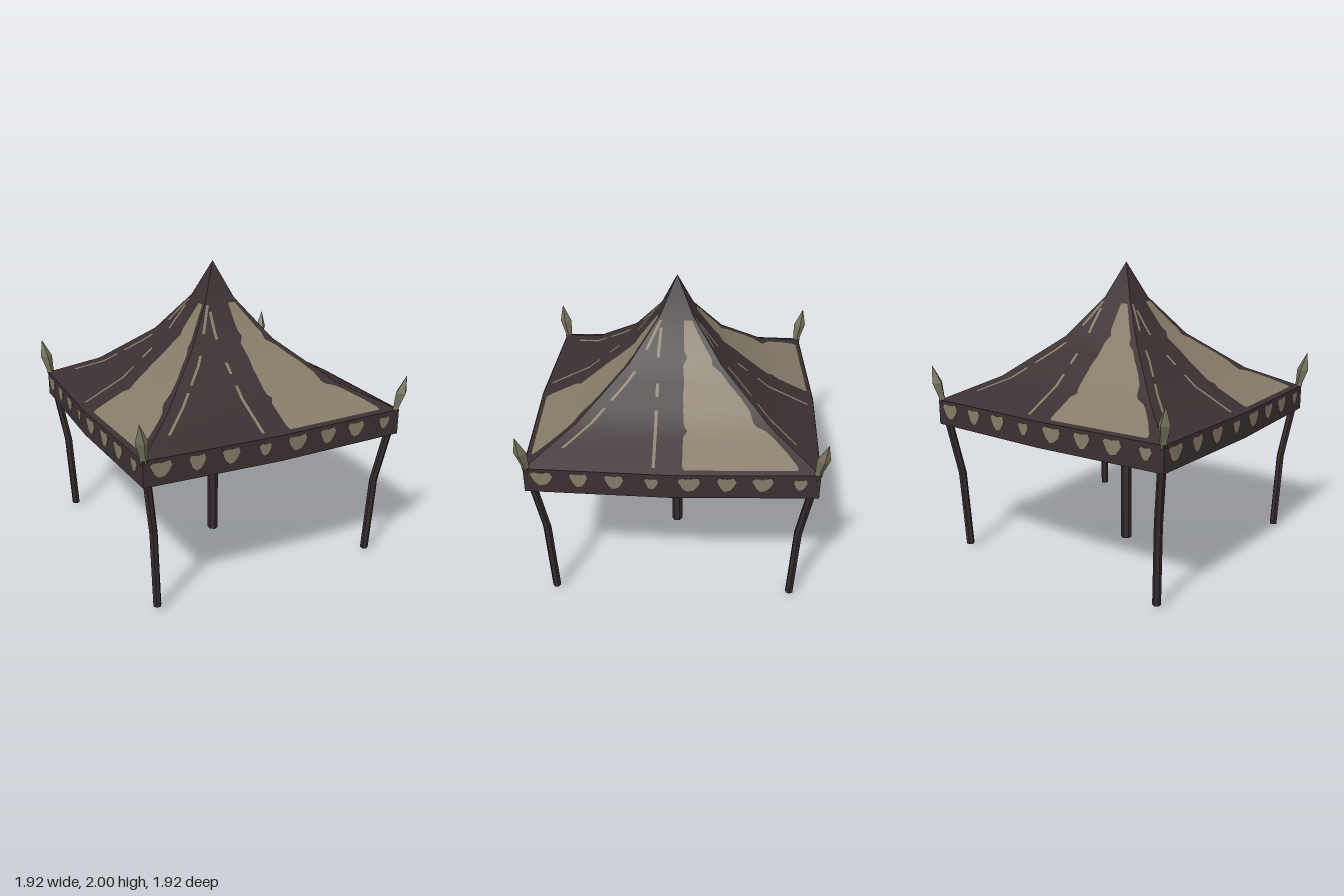
import * as THREE from 'three';

const mat = (name, color, side = THREE.FrontSide) => {
  const m = new THREE.MeshStandardMaterial({ color, side });
  m.name = name;
  return m;
};

const named = (name, geometry, material) => {
  const mesh = new THREE.Mesh(geometry, material);
  mesh.name = name;
  return mesh;
};

const faceted = (geometry) => {
  const g = geometry.toNonIndexed();
  g.computeVertexNormals();
  return g;
};

// Roof section: distance of the mid-side from the axis, and height
const PROFILE = [[0, 2], [0.11, 1.76], [0.31, 1.5], [0.63, 1.24], [0.945, 1.085]];
const CORNER = 0.965;

function roofHeight(m) {
  let i = 0;
  while (i < PROFILE.length - 2 && m > PROFILE[i + 1][0]) i++;
  const [m0, y0] = PROFILE[i], [m1, y1] = PROFILE[i + 1];
  return y0 + (y1 - y0) * (m - m0) / (m1 - m0);
}

// Rows down one roof side: distance, inner edge of the pale panel,
// its gap to the ridge, and whether each pale streak runs below this row
const ROWS = [
  [0, 0, 0, 0, 0], [0.11, 0.05, 0.03, 0, 0], [0.13, 0.05, 0.025, 0, 1], [0.16, 0.05, 0.03, 1, 1],
  [0.25, 0.055, 0.04, 1, 0], [0.28, 0.075, 0.04, 0, 0], [0.31, 0.05, 0.06, 0, 0], [0.35, 0.055, 0.04, 0, 1],
  [0.41, 0.06, 0.045, 1, 1], [0.48, 0.055, 0.04, 0, 1], [0.51, 0.06, 0.045, 0, 0], [0.55, 0.06, 0.05, 1, 1],
  [0.61, 0.065, 0.085, 1, 1], [0.63, 0.07, 0.085, 1, 1], [0.66, 0.09, 0.055, 1, 1], [0.7, 0.065, 0.05, 1, 1],
  [0.8, 0.065, 0.06, 1, 0], [0.88, 0.065, 0.08, 1, 0], [0.9, 0.07, 0.09, 0, 0], [0.91, 0.08, 0.11, 0, 0],
  [0.945, 0.08, 0.11, 0, 0],
];

// Column borders from the left ridge to the right ridge
function columns([m, inner, gap]) {
  const w = CORNER * m, k = Math.min(1, m / 0.15);
  const ridgeStreak = -(w - 0.1 * Math.min(1, m / 0.4));
  const midStreak = -Math.min(0.1, 0.55 * m);
  return [-w, ridgeStreak - 0.02 * k, ridgeStreak, midStreak - 0.02 * k, midStreak, 0, inner, w - gap, w];
}

function roofSide(pale) {
  const pos = [], nor = [];
  const add = (m, x) => {
    pos.push(x, roofHeight(m), m - 0.035 * Math.abs(x) / CORNER);
    const a = Math.max(0, m - 0.1), b = Math.min(0.945, m + 0.1);
    const n = new THREE.Vector3(0, 1, (roofHeight(a) - roofHeight(b)) / (b - a)).normalize();
    nor.push(n.x, n.y, n.z);
  };
  for (let r = 0; r < ROWS.length - 1; r++) {
    const top = ROWS[r], low = ROWS[r + 1];
    const c0 = columns(top), c1 = columns(low);
    for (let c = 0; c < 8; c++) {
      const isPale = (c === 6 && top[0] >= 0.13 && top[0] < 0.91) || (c === 3 && top[3] === 1) || (c === 1 && top[4] === 1);
      if (isPale !== pale) continue;
      add(top[0], c0[c]); add(low[0], c1[c]); add(low[0], c1[c + 1]);
      add(top[0], c0[c]); add(low[0], c1[c + 1]); add(top[0], c0[c + 1]);
    }
  }
  const g = new THREE.BufferGeometry();
  g.setAttribute('position', new THREE.Float32BufferAttribute(pos, 3));
  g.setAttribute('normal', new THREE.Float32BufferAttribute(nor, 3));
  return g;
}

// Octagonal ring: four corners with slightly bulged sides
function ringPoints(inset) {
  const c = 0.912 - inset, m = 0.945 - inset;
  return [[c, c], [0, m], [-c, c], [-m, 0], [-c, -c], [0, -m], [c, -c], [m, 0]].map(([x, y]) => new THREE.Vector2(x, y));
}

// Rounded scallop: flat top narrowing downwards
function spotGeometry(w, h) {
  const s = new THREE.Shape();
  const pts = [[-0.5, 0.3], [-0.38, 0.48], [0, 0.42], [0.4, 0.5], [0.5, 0.2], [0.36, -0.15], [0.18, -0.42], [-0.1, -0.5], [-0.3, -0.25]];
  pts.forEach(([x, y], i) => (i ? s.lineTo(x * w, y * h) : s.moveTo(x * w, y * h)));
  return new THREE.ExtrudeGeometry(s, { depth: 0.009, bevelEnabled: false }).translate(0, 0, -0.0045);
}

export function createModel() {
  const cloth = mat('dark cloth', 0x3b3031, THREE.DoubleSide);
  const paleCloth = mat('pale cloth', 0x857b68, THREE.DoubleSide);
  const wood = mat('dark wood', 0x362b2c);
  const metal = mat('dull metal', 0x78745f);

  const model = new THREE.Group();
  model.name = 'pavilion';

  // Hanging valance
  const ring = new THREE.Shape(ringPoints(0));
  ring.holes.push(new THREE.Path(ringPoints(0.004)));
  const valance = new THREE.ExtrudeGeometry(ring, { depth: 0.17, bevelEnabled: false });
  valance.rotateX(-Math.PI / 2).translate(0, 0.92, 0);
  model.add(named('valance', valance, cloth));

  // Centre pole
  const pole = faceted(new THREE.CylinderGeometry(0.038, 0.038, 1.85, 6)).translate(0, 0.925, 0);
  model.add(named('centrePole', pole, wood));

  // Bent corner post, leaning outwards along the diagonal
  const post = new THREE.CylinderGeometry(0.027, 0.027, 1.06, 6, 2).translate(0, 0.56, 0);
  const lean = [0.795, 0.817, 0.893];
  const p = post.attributes.position;
  for (let i = 0; i < p.count; i++) {
    const d = lean[Math.round((p.getY(i) - 0.03) / 0.53)];
    p.setX(i, p.getX(i) + d);
    p.setZ(i, p.getZ(i) + d);
  }
  const postGeometry = faceted(post);

  // Four-sided spear finial, sheared outwards
  const profile = [[0, 1.07], [0.028, 1.07], [0.025, 1.11], [0.042, 1.21], [0, 1.33]];
  const spear = new THREE.LatheGeometry(profile.map(([x, y]) => new THREE.Vector2(x, y)), 4);
  const f = spear.attributes.position;
  for (let i = 0; i < f.count; i++) {
    const d = 0.892 + (f.getY(i) - 1.07) * 0.17;
    f.setX(i, f.getX(i) + d);
    f.setZ(i, f.getZ(i) + d);
  }
  const finialGeometry = faceted(spear);

  const darkRoof = roofSide(false), paleRoof = roofSide(true);
  const spots = [[-0.8, 0.14], [-0.57, 0.11], [-0.35, 0.12], [-0.12, 0.085], [0.11, 0.14], [0.34, 0.12], [0.56, 0.13], [0.79, 0.085]];

  // Four equal quarters
  for (let q = 0; q < 4; q++) {
    const quarter = new THREE.Group();
    quarter.name = 'quarter' + (q + 1);
    quarter.rotation.y = q * Math.PI / 2;
    quarter.add(
      named('roofCloth', darkRoof, cloth),
      named('roofPalePanels', paleRoof, paleCloth),
      named('cornerPost', postGeometry, wood),
      named('finial', finialGeometry, metal),
    );
    for (const [x, w] of spots) {
      const spot = named('valanceSpot', spotGeometry(w, w > 0.1 ? 0.1 : 0.08), paleCloth);
      spot.position.set(x, 1.02, 0.943 - 0.0362 * Math.abs(x));
      spot.rotation.y = Math.sign(x) * 0.0362;
      quarter.add(spot);
    }
    model.add(quarter);
  }
  return model;
}
